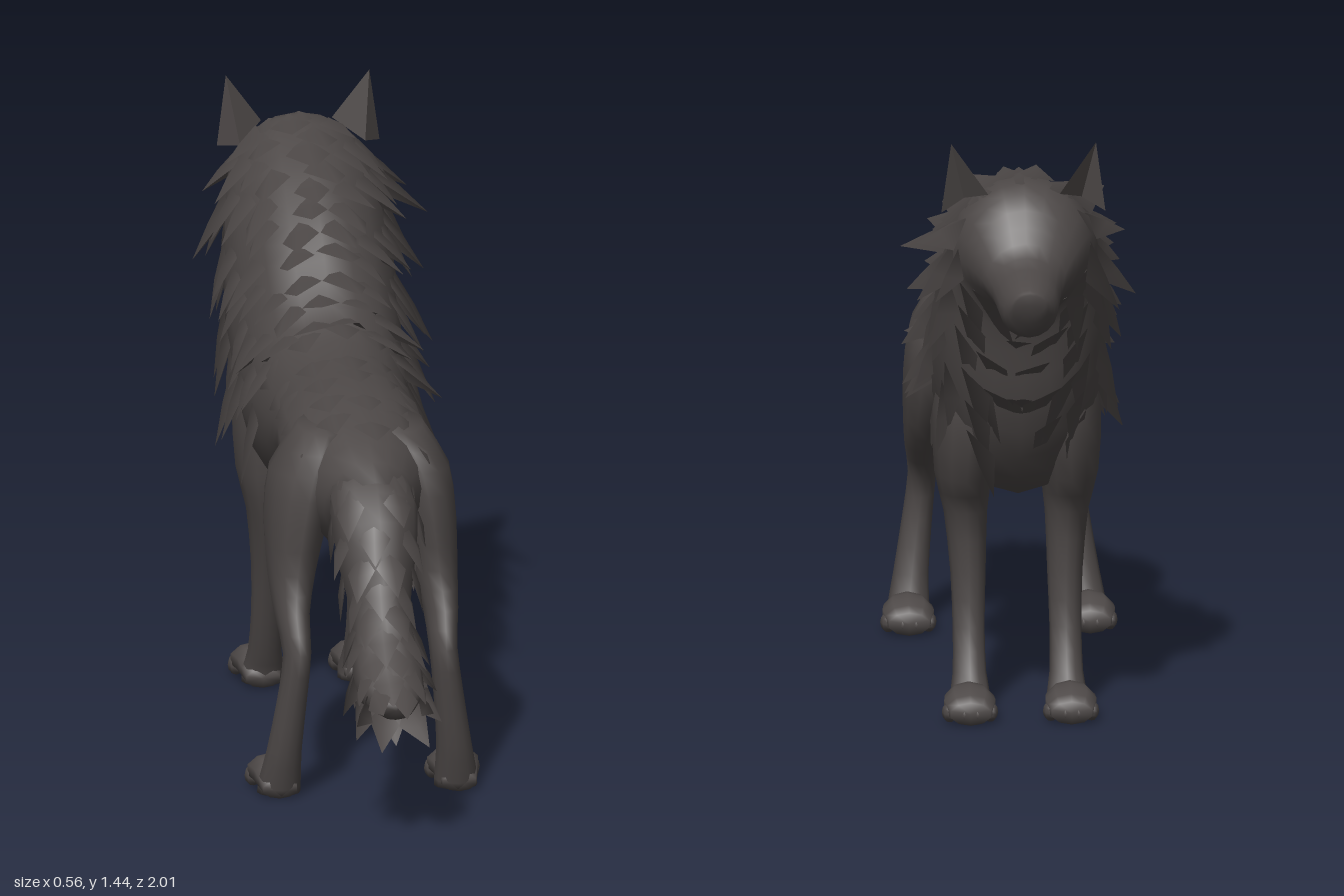
import * as THREE from 'three';

const fur = new THREE.MeshStandardMaterial({ color: 0x4d4847, side: THREE.DoubleSide });
fur.name = 'charcoalFur';

// A section is [zA, yA, zB, yB, x, halfWidth]: an ellipse spanning A to B in the side plane.
function makeForm(sections) {
  const curve = (f) => new THREE.CatmullRomCurve3(sections.map(f), false, 'catmullrom', 0.4);
  const a = curve((s) => new THREE.Vector3(s[4], s[1], s[0]));
  const b = curve((s) => new THREE.Vector3(s[4], s[3], s[2]));
  const w = curve((s, i) => new THREE.Vector3(s[5], i, 0));
  const last = sections.length - 1;
  // Point and outward normal at section position i and angle (0 = side A, positive towards +x)
  return {
    last,
    at(i, angle) {
      const t = i / last;
      const A = a.getPoint(t), B = b.getPoint(t), width = Math.max(0.003, w.getPoint(t).x);
      const c = A.clone().add(B).multiplyScalar(0.5);
      const v = A.sub(B).multiplyScalar(0.5);
      const h = v.length();
      const sx = Math.sin(angle), cv = Math.cos(angle);
      const p = c.clone().addScaledVector(v, cv);
      p.x += sx * width;
      const n = v.clone().multiplyScalar(cv / (h * h));
      n.x += sx / width;
      return { p, n: n.normalize(), c };
    },
  };
}

// Closed smooth skin over a form
function loft(name, form, sides = 14, steps = 2) {
  const rows = form.last * steps, pos = [], idx = [];
  for (let r = 0; r <= rows; r++)
    for (let j = 0; j < sides; j++) pos.push(...form.at(r / steps, (j / sides) * Math.PI * 2).p);
  for (let r = 0; r < rows; r++)
    for (let j = 0; j < sides; j++) {
      const k = (j + 1) % sides, p = r * sides, q = p + sides;
      idx.push(p + j, p + k, q + j, p + k, q + k, q + j);
    }
  const end = rows * sides, c0 = pos.length / 3;
  pos.push(...form.at(0, 0).c, ...form.at(form.last, 0).c);
  for (let j = 0; j < sides; j++) {
    const k = (j + 1) % sides;
    idx.push(c0, k, j, c0 + 1, end + j, end + k);
  }
  const g = new THREE.BufferGeometry();
  g.setAttribute('position', new THREE.Float32BufferAttribute(pos, 3));
  g.setIndex(idx);
  g.computeVertexNormals();
  return named(name, g);
}

function named(name, geometry) {
  const m = new THREE.Mesh(geometry, fur);
  m.name = name;
  return m;
}

function facets(name, pos, normals) {
  const g = new THREE.BufferGeometry();
  g.setAttribute('position', new THREE.Float32BufferAttribute(pos, 3));
  if (normals) g.setAttribute('normal', new THREE.Float32BufferAttribute(normals, 3));
  else g.computeVertexNormals();
  return named(name, g);
}

let seed = 7;
const rand = () => (seed = (seed * 16807) % 2147483647) / 2147483647;

// One pointed lock of fur, a softly shaded ridged sheet rising from a surface
function tuft(out, { p, n }, flow, len, width, lift) {
  const d = flow.clone().addScaledVector(n, -flow.dot(n)).normalize();
  const side = n.clone().cross(d);
  const base = p.clone().addScaledVector(n, -0.006);
  const ridge = base.clone().addScaledVector(n, 0.012 + lift * len * 0.45).addScaledVector(d, len * 0.4);
  const tip = base.clone().addScaledVector(n, lift * len + 0.006).addScaledVector(d, len);
  const root = base.clone().addScaledVector(d, -len * 0.25);
  const lean = n.clone().addScaledVector(d, -lift * 0.6);
  const edge = (s) => ({
    p: base.clone().addScaledVector(side, s * width).addScaledVector(d, len * 0.25),
    n: lean.clone().addScaledVector(side, s * 0.5).normalize(),
  });
  const L = edge(1), R = edge(-1), mid = lean.normalize();
  const M = { p: ridge, n: mid }, T = { p: tip, n: mid }, B = { p: root, n };
  for (const q of [L, M, T, M, R, T, B, M, L, B, R, M]) {
    out.pos.push(...q.p);
    out.normals.push(...q.n);
  }
}

// A mesh of tufts, filled in by a callback
function coat(name, fill) {
  const out = { pos: [], normals: [] };
  fill(out);
  return facets(name, out.pos, out.normals);
}

export function createModel() {
  seed = 7;
  const model = new THREE.Group();
  model.name = 'wolf';

  // Torso, neck, head and muzzle in one continuous skin, rump to nose
  const body = makeForm([
    [0.59, 0.8, 0.48, 0.64, 0, 0.08], [0.47, 0.868, 0.42, 0.58, 0, 0.14],
    [0.3, 0.915, 0.28, 0.62, 0, 0.18], [0.15, 0.935, 0.15, 0.66, 0, 0.175],
    [0, 0.945, 0, 0.59, 0, 0.178], [-0.13, 0.985, -0.15, 0.54, 0, 0.188],
    [-0.22, 1.06, -0.3, 0.51, 0, 0.197], [-0.3, 1.15, -0.46, 0.53, 0, 0.203],
    [-0.38, 1.22, -0.575, 0.64, 0, 0.205], [-0.47, 1.28, -0.64, 0.78, 0, 0.2],
    [-0.57, 1.325, -0.675, 0.92, 0, 0.188], [-0.66, 1.35, -0.71, 1.02, 0, 0.17],
    [-0.74, 1.325, -0.755, 1.04, 0, 0.142], [-0.795, 1.255, -0.8, 1.048, 0, 0.108],
    [-0.84, 1.192, -0.84, 1.04, 0, 0.083], [-0.93, 1.165, -0.92, 1.018, 0, 0.07],
    [-0.98, 1.148, -0.95, 1.04, 0, 0.052], [-0.995, 1.138, -0.98, 1.085, 0, 0.036],
  ]);
  model.add(loft('body', body, 18));

  // Shaggy mane, cheeks and chest ruff
  model.add(coat('mane', (out) => {
    for (let row = 0; row <= 11; row++) {
      const i = 5.1 + row * 0.57;
      const spread = Math.min(Math.PI, 1.6 + Math.max(0, i - 6) * 0.55);
      const count = 5 + Math.round(spread * 2);
      for (let j = 0; j < count; j++) {
        const ang = -spread + (2 * spread * (j + (row % 2 ? 0.5 : 0.1) + rand() * 0.4)) / count;
        const k = (1 - Math.cos(ang)) / 2;
        const flow = new THREE.Vector3(0, -0.5 - 0.5 * k, 0.85 - 0.75 * k);
        const cheek = i > 10 && k > 0.25 && k < 0.8;
        const crown = i > 10.8 && k < 0.25;
        const len = crown ? 0.08 : 0.12 + rand() * 0.06;
        const lift = cheek ? 0.55 : crown ? 0.12 : k > 0.8 ? 0.35 : 0.15 + rand() * 0.25;
        tuft(out, body.at(i, ang), flow, len, 0.042 + rand() * 0.016, lift);
      }
    }
    // Hanging points of the ruff
    for (const ang of [2.5, 2.8, 3.14, 3.48, 3.78])
      tuft(out, body.at(9.1, ang), new THREE.Vector3(0, -1, 0.05), 0.17, 0.05, 0.3);
  }));

  // Sparse flat locks along the back and haunches
  model.add(coat('backFur', (out) => {
    for (let i = 1.5; i < 5; i += 0.8)
      for (const ang of [-1, -0.4, 0.1, 0.5, 1])
        tuft(out, body.at(i + rand() * 0.4, ang), new THREE.Vector3(0, -0.2, 1), 0.12, 0.045, -0.02);
  }));

  // Drooping bushy tail
  const tail = makeForm([
    [0.42, 0.76, 0.44, 0.85, 0, 0.08], [0.49, 0.66, 0.62, 0.785, 0, 0.105],
    [0.53, 0.54, 0.69, 0.66, 0, 0.09], [0.6, 0.43, 0.735, 0.56, 0, 0.07],
    [0.69, 0.35, 0.79, 0.475, 0, 0.08], [0.8, 0.3, 0.88, 0.41, 0, 0.08],
    [0.92, 0.31, 0.94, 0.36, 0, 0.04],
  ]);
  model.add(loft('tail', tail, 12));
  model.add(coat('tailFur', (out) => {
    for (let row = 0; row < 10; row++) {
      const i = 0.5 + row * 0.55;
      const flow = tail.at(Math.min(6, i + 0.3), 0).c.sub(tail.at(i - 0.3, 0).c).normalize();
      for (let j = 0; j < 6; j++) {
        const ang = ((j + (row % 2) * 0.5 + rand() * 0.3) / 6) * Math.PI * 2;
        const lift = i > 3.2 ? 0.1 + 0.22 * Math.abs(Math.sin(ang)) : 0.1;
        tuft(out, tail.at(i, ang), flow, 0.09 + rand() * 0.03, 0.038, lift);
      }
    }
  }));

  const hind = [
    [0.24, 0.88, 0.42, 0.87, 0.09, 0.06], [0.15, 0.75, 0.47, 0.78, 0.13, 0.085],
    [0.17, 0.63, 0.48, 0.66, 0.155, 0.075], [0.25, 0.52, 0.475, 0.54, 0.17, 0.058],
    [0.34, 0.44, 0.51, 0.45, 0.178, 0.043], [0.44, 0.355, 0.553, 0.365, 0.175, 0.034],
    [0.455, 0.25, 0.54, 0.25, 0.187, 0.036], [0.435, 0.12, 0.52, 0.12, 0.203, 0.042],
    [0.41, 0.05, 0.5, 0.04, 0.21, 0.05], [0.4, 0.005, 0.49, 0.005, 0.212, 0.052],
  ];
  const fore = [
    [-0.55, 0.86, -0.28, 0.9, 0.09, 0.08], [-0.57, 0.72, -0.24, 0.74, 0.115, 0.085],
    [-0.52, 0.57, -0.25, 0.57, 0.125, 0.07], [-0.455, 0.48, -0.28, 0.46, 0.12, 0.052],
    [-0.44, 0.33, -0.335, 0.32, 0.115, 0.042], [-0.45, 0.2, -0.38, 0.19, 0.115, 0.038],
    [-0.49, 0.1, -0.415, 0.09, 0.115, 0.04], [-0.53, 0.04, -0.44, 0.03, 0.115, 0.05],
    [-0.53, 0.005, -0.44, 0.005, 0.115, 0.05],
  ];

  for (const side of [1, -1]) {
    const label = side > 0 ? 'PlusX' : 'MinusX';
    for (const [kind, data, x, heel] of [['hind', hind, 0.215, 0.49], ['front', fore, 0.12, -0.44]]) {
      const leg = new THREE.Group();
      leg.name = `${kind}Leg${label}`;
      leg.add(loft('limb', makeForm(data.map((s) => [...s.slice(0, 4), s[4] * side, s[5]])), 12));
      // Paw with four toes
      leg.add(loft('paw', makeForm([
        [heel, 0.045, heel, 0.0, x * side, 0.042], [heel - 0.07, 0.085, heel - 0.06, 0.0, x * side, 0.056],
        [heel - 0.12, 0.08, heel - 0.12, 0.0, x * side, 0.064], [heel - 0.168, 0.055, heel - 0.17, 0.0, x * side, 0.05],
      ]), 10));
      for (let t = 0; t < 4; t++) {
        const toe = named('toe', new THREE.SphereGeometry(0.02, 8, 6));
        const off = (t - 1.5) * 0.032;
        toe.scale.set(0.95, 1.2, 1.7);
        toe.position.set(x * side + off, 0.024, heel - 0.145 + Math.abs(off) * 0.4);
        leg.add(toe);
      }
      model.add(leg);
    }

    // Pointed ear with a hollow facing forward
    const [outer, inner, rear, tip, hollow] = [
      [0.195, 1.27, -0.69], [0.085, 1.32, -0.72], [0.15, 1.29, -0.615], [0.172, 1.44, -0.7], [0.14, 1.3, -0.665],
    ].map(([px, py, pz]) => [px * side, py, pz]);
    const faces = [[inner, rear, tip], [rear, outer, tip], [outer, hollow, tip], [hollow, inner, tip]];
    const corners = faces.flatMap(([p, q, r]) => (side > 0 ? [...p, ...r, ...q] : [...p, ...q, ...r]));
    model.add(facets(`ear${label}`, corners));
  }
  return model;
}
